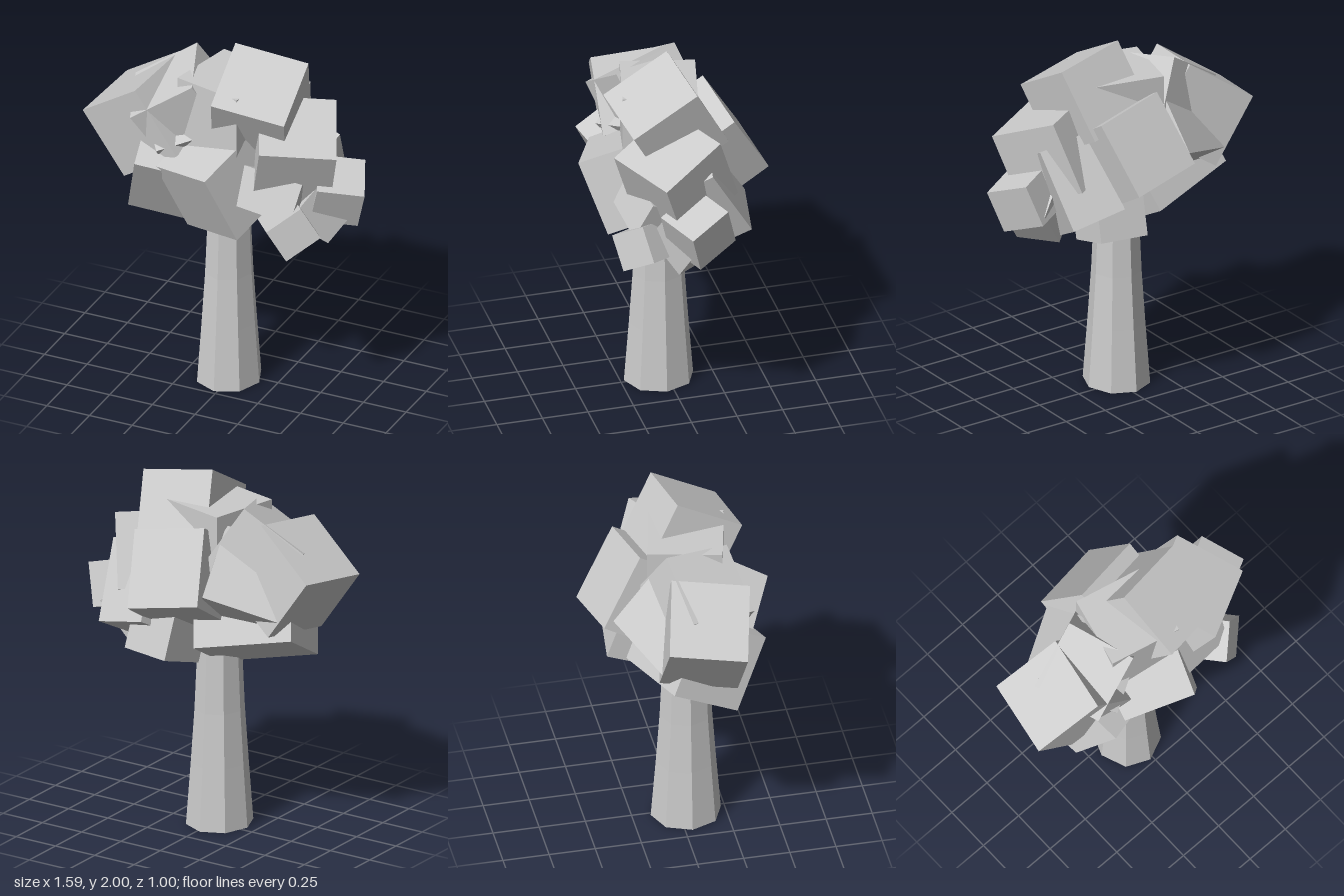
import * as THREE from 'three';

const material = new THREE.MeshStandardMaterial({ color: 0xcccccc, flatShading: true });

// Leaf blocks: a corner, two edges leaving it, and the depth along their cross product
const leafBlocks = [
  // large blocks
  [[0, 2, 0], [0.4, -0.06, -0.06], [0.02, -0.2, 0.355], 0.41],
  [[-0.795, 1.51, 0.21], [0.345, 0.24, 0.085], [0.065, 0.05, -0.41], -0.42],
  [[0.205, 1.33, -0.505], [-0.4, 0.07, 0.065], [0.1, 0.36, 0.215], -0.41],
  [[-0.28, 1.875, -0.12], [0.135, -0.065, 0.355], [-0.325, -0.215, 0.075], 0.4],
  [[0.055, 1.42, 0.5], [-0.365, -0.07, -0.16], [0.1, -0.39, -0.14], -0.41],
  [[-0.53, 1.0, 0.21], [0.52, -0.1, -0.15], [0.085, 0.37, 0.19], -0.41],
  [[0.315, 1.58, 0.375], [0.365, -0.035, -0.19], [-0.16, 0.155, -0.34], -0.41],
  [[0.14, 1.825, 0.28], [-0.39, 0, -0.09], [0.09, 0, -0.39], 0.41],
  [[-0.55, 1.31, -0.2], [0.355, 0.13, -0.19], [0.05, 0.33, 0.25], 0.38],
  [[0.505, 1.14, -0.33], [0.06, 0.39, 0.23], [-0.3, 0.04, -0.06], 0.3],
  // small blocks
  [[0.135, 1.225, 0.34], [0.325, -0.065, -0.035], [0.013, 0.2, -0.095], -0.335],
  [[0.47, 0.97, 0.365], [0.14, 0.11, -0.13], [-0.17, -0.045, -0.26], 0.2],
  [[0.79, 1.29, 0.07], [-0.1, 0.09, -0.22], [-0.06, -0.23, -0.04], 0.255],
  [[0.585, 0.97, 0.09], [-0.175, 0.15, 0.115], [0.14, 0.2, -0.065], 0.25],
  [[0.03, 0.93, -0.09], [0.03, 0.09, -0.28], [0.27, 0, 0.06], -0.29],
];

function makeLeafBlock([corner, edgeA, edgeB, depth]) {
  const a = new THREE.Vector3(...edgeA);
  const b = new THREE.Vector3(...edgeB);
  // square up the second edge, then find the third
  const lengthB = b.length();
  const dirA = a.clone().normalize();
  b.addScaledVector(dirA, -b.dot(dirA)).setLength(lengthB);
  const n = new THREE.Vector3().crossVectors(a, b).normalize();
  const centre = new THREE.Vector3(...corner)
    .addScaledVector(a, 0.5).addScaledVector(b, 0.5).addScaledVector(n, depth / 2);

  const block = new THREE.Mesh(
    new THREE.BoxGeometry(a.length(), lengthB, Math.abs(depth)), material);
  block.quaternion.setFromRotationMatrix(
    new THREE.Matrix4().makeBasis(dirA, b.clone().normalize(), n));
  block.position.copy(centre);
  return block;
}

export function createModel() {
  const tree = new THREE.Group();
  tree.name = 'tree';

  // Eight-sided trunk, slightly narrower across, flaring towards the ground
  const profile = [[0, 0], [0.19, 0], [0.163, 0.35], [0.142, 0.65], [0.126, 1.0], [0.12, 1.3], [0, 1.3]]
    .map(([r, y]) => new THREE.Vector2(r, y));
  const trunkGeometry = new THREE.LatheGeometry(profile, 8).scale(0.93, 1, 1);
  const trunk = new THREE.Mesh(trunkGeometry, material);
  trunk.name = 'trunk';
  trunk.position.set(-0.018, 0, 0.04);
  tree.add(trunk);

  // Crown of tumbled, overlapping blocks
  const crown = new THREE.Group();
  crown.name = 'crown';
  leafBlocks.forEach((data, i) => {
    const block = makeLeafBlock(data);
    block.name = `leafBlock${i + 1}`;
    crown.add(block);
  });
  tree.add(crown);

  return tree;
}
